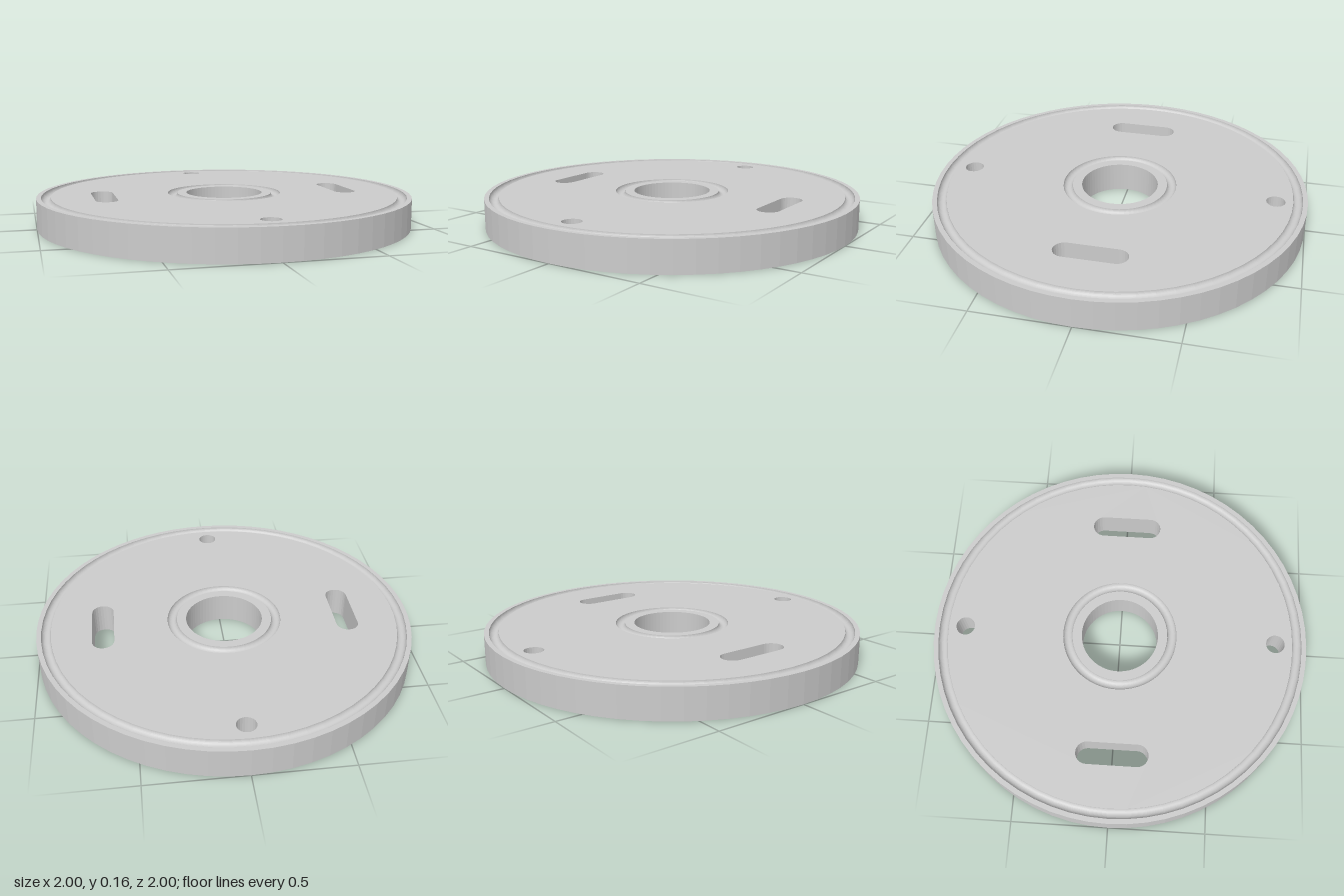
import * as THREE from 'three';

const H = 0.16, SEG = 64;
const material = new THREE.MeshStandardMaterial({ color: 0xcccccc, flatShading: true });

// Counter-clockwise outline: a circle, or a slot when stretched by +-half along y
function outline(cx, cy, r, seg, half = 0) {
  const pts = [];
  const arc = (from, sweep, n, y) => {
    for (let i = 0; i < n; i++) {
      const a = from + sweep * i / (half ? n - 1 : n);
      pts.push(new THREE.Vector2(cx + r * Math.cos(a), y + r * Math.sin(a)));
    }
  };
  if (half) {
    arc(0, Math.PI, seg / 2 + 1, cy + half);
    arc(Math.PI, Math.PI, seg / 2 + 1, cy - half);
  } else arc(0, Math.PI * 2, seg, cy);
  return pts;
}

// Flat face with holes, facing up or down
function face(outer, holes, y, up) {
  const shape = new THREE.Shape(outer);
  shape.holes = holes.map(p => new THREE.Path(p));
  return new THREE.ShapeGeometry(shape).rotateX(up ? -Math.PI / 2 : Math.PI / 2).translate(0, y, 0);
}

// Inward-facing wall of a through hole
function holeWall(pts) {
  const pos = [], idx = [];
  pts.forEach((p, i) => {
    pos.push(p.x, 0, -p.y, p.x, H, -p.y);
    const a = 2 * i, b = 2 * ((i + 1) % pts.length);
    idx.push(b, a, a + 1, b, a + 1, b + 1);
  });
  const g = new THREE.BufferGeometry();
  g.setAttribute('position', new THREE.Float32BufferAttribute(pos, 3));
  g.setIndex(idx);
  g.computeVertexNormals();
  return g;
}

// Half-round groove profile in the top face, from its outer edge inwards
function groove(radius, r = 0.025, n = 16) {
  return Array.from({ length: n + 1 }, (_, i) => {
    const a = Math.PI * i / n;
    return new THREE.Vector2(radius + r * Math.cos(a), H - r * Math.sin(a));
  });
}

export function createModel() {
  const group = new THREE.Group();
  const add = (name, geometry) => {
    const mesh = new THREE.Mesh(geometry, material);
    mesh.name = name;
    group.add(mesh);
  };
  const v = (x, y) => new THREE.Vector2(x, y);

  // Through holes: two slots left and right, two round holes front and back
  const holes = [];
  for (const s of [1, -1]) {
    const slot = outline(s * 0.65, 0, 0.058, 24, 0.13);
    const bolt = outline(0, s * 0.835, 0.05, 24);
    holes.push(slot, bolt);
    const side = s > 0 ? ['left', 'back'] : ['right', 'front'];
    add(side[0] + 'SlotWall', holeWall(slot));
    add(side[1] + 'HoleWall', holeWall(bolt));
  }

  // Flat faces of the disc
  add('topFace', face(outline(0, 0, 0.925, SEG), [outline(0, 0, 0.305, SEG), ...holes], H, true));
  add('bottomFace', face(outline(0, 0, 1, SEG), [outline(0, 0, 0.205, SEG), ...holes], 0, false));

  // Outer wall, rim and outer groove
  add('rimWithGroove', new THREE.LatheGeometry([v(1, 0), v(1, H), ...groove(0.95)], SEG));
  // Inner groove, collar and centre bore
  add('boreWithGroove', new THREE.LatheGeometry([...groove(0.28), v(0.205, H), v(0.205, 0)], SEG));

  return group;
}
